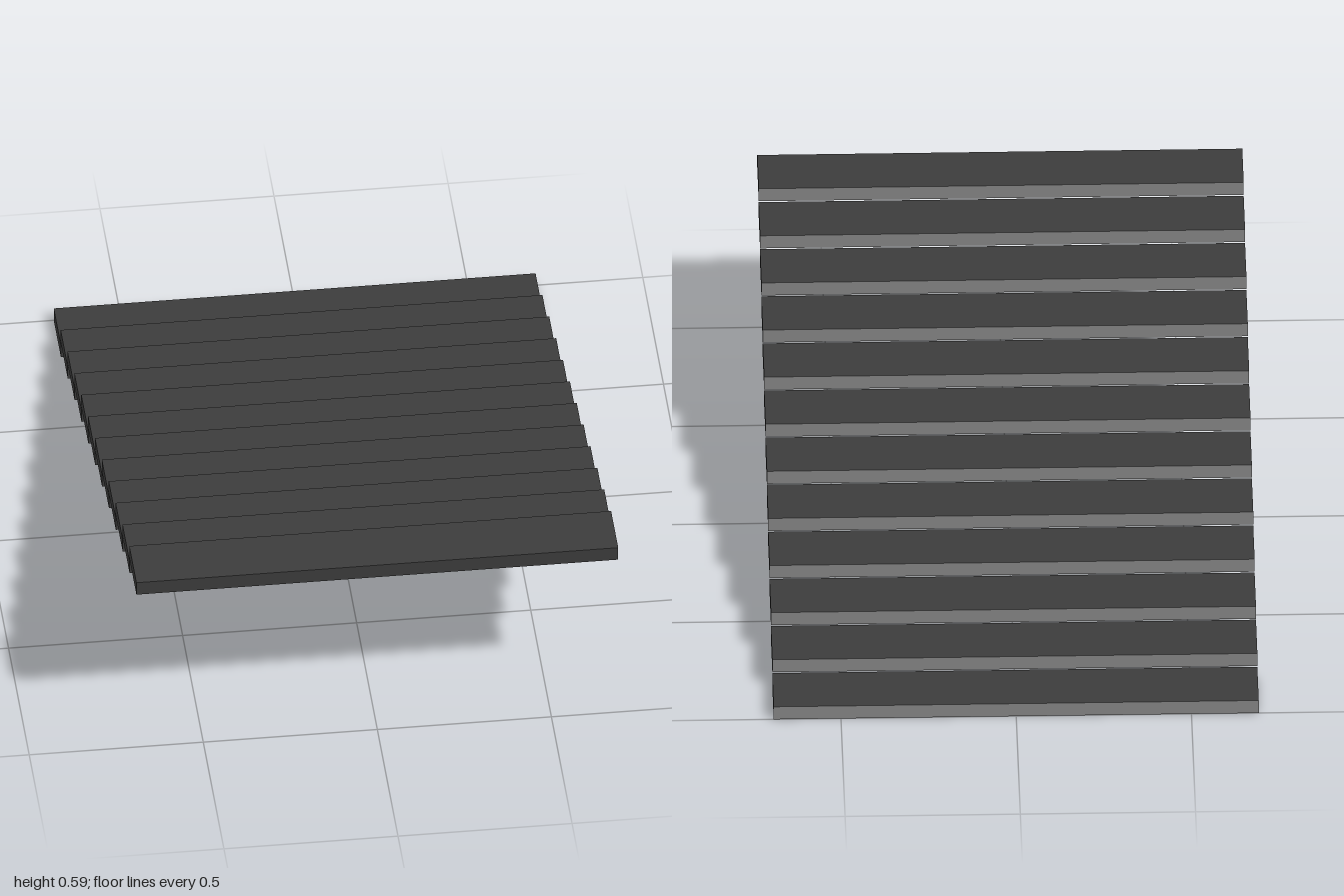
import * as THREE from 'three';

const STEPS = 12;
const WIDTH = 1.384, HEIGHT = 0.043, DEPTH = 0.172;
const TOTAL_HEIGHT = 0.593, TOTAL_DEPTH = 2;

export function createModel() {
  const group = new THREE.Group();
  group.name = 'staircase';

  const tread = new THREE.MeshStandardMaterial({ color: 0x3c3c3c });
  tread.name = 'dark tread';
  const riser = new THREE.MeshStandardMaterial({ color: 0x858585 });
  riser.name = 'grey riser';

  // Slab with a lighter riser on its back (climbing) face
  const slab = new THREE.BoxGeometry(WIDTH, HEIGHT, DEPTH);
  const faces = [tread, tread, tread, tread, tread, riser];

  // Floating steps, rising from back to front with a slight overlap
  const rise = (TOTAL_HEIGHT - HEIGHT) / (STEPS - 1);
  const run = (TOTAL_DEPTH - DEPTH) / (STEPS - 1);
  for (let i = 0; i < STEPS; i++) {
    const step = new THREE.Mesh(slab, faces);
    step.name = `step${i + 1}`;
    step.position.set(0, HEIGHT / 2 + i * rise, -TOTAL_DEPTH / 2 + DEPTH / 2 + i * run);
    group.add(step);
  }
  return group;
}
